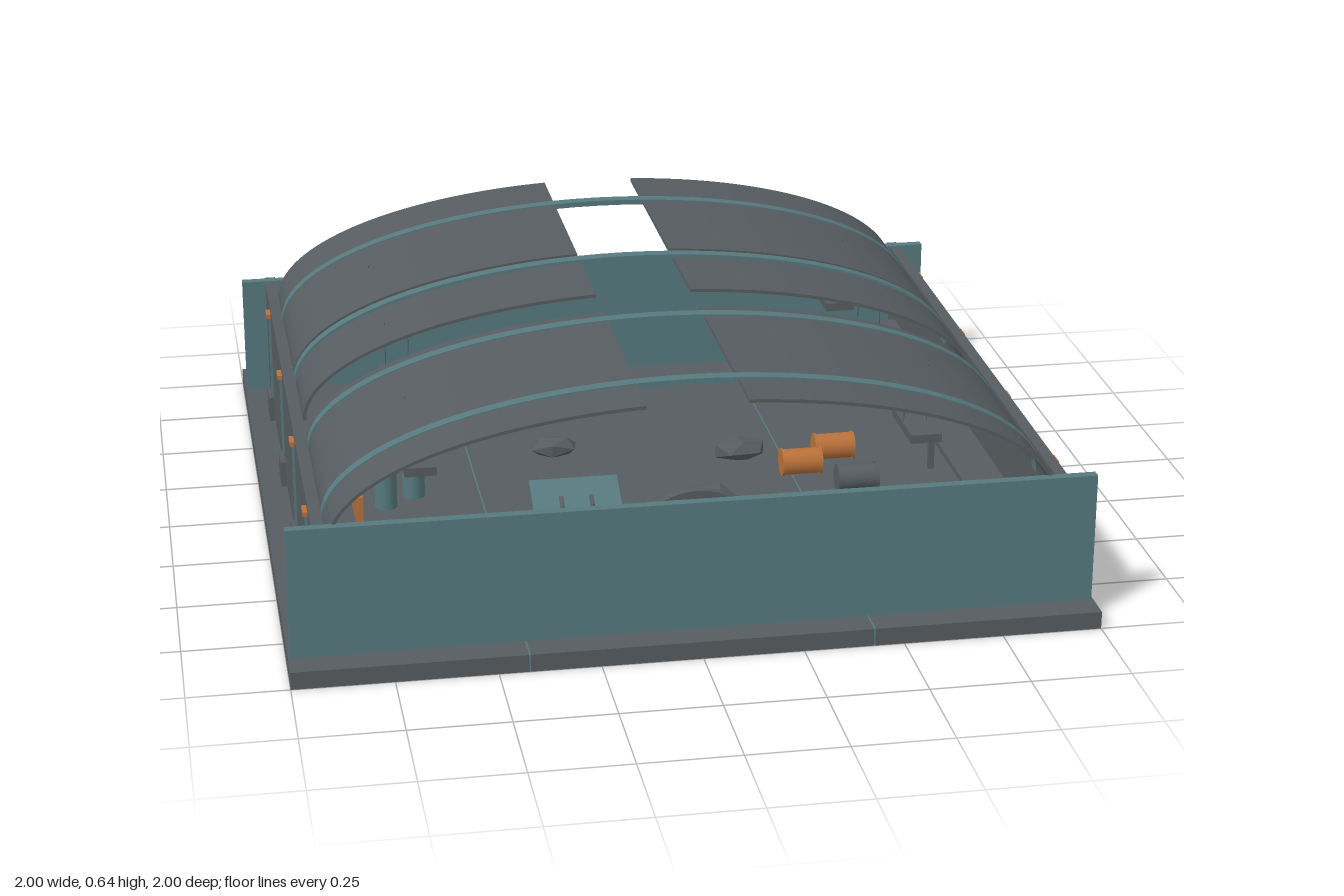
import * as THREE from 'three';

const mat = (name, color) => {
  const m = new THREE.MeshStandardMaterial({ color });
  m.name = name;
  return m;
};

export function createModel() {
  const model = new THREE.Group();
  const grey = mat('slate grey', 0x565c60);
  const teal = mat('muted teal', 0x56797e);
  const orange = mat('rust orange', 0xb8703a);

  const add = (name, geo, material, x = 0, y = 0, z = 0, parent = model) => {
    const m = new THREE.Mesh(geo, material);
    m.name = name;
    m.position.set(x, y, z);
    parent.add(m);
    return m;
  };
  // Box given by its min and max on each axis
  const box = (name, material, x0, x1, y0, y1, z0, z1) =>
    add(name, new THREE.BoxGeometry(x1 - x0, y1 - y0, z1 - z0), material,
      (x0 + x1) / 2, (y0 + y1) / 2, (z0 + z1) / 2);

  // Curved strip of the elliptical vault between two x positions
  const A = 0.895, B = 0.305, SPRING = 0.33;
  const arch = (name, material, x0, x1, z0, z1, lift, thick) => {
    const a0 = Math.acos(x1 / A), a1 = Math.acos(x0 / A), n = 40;
    const outer = [], inner = [];
    for (let i = 0; i <= n; i++) {
      const a = a0 + (a1 - a0) * i / n, c = Math.cos(a), s = Math.sin(a);
      outer.push(new THREE.Vector2((A + lift) * c, SPRING + (B + lift) * s));
      inner.push(new THREE.Vector2((A + lift - thick) * c, SPRING + (B + lift - thick) * s));
    }
    const shape = new THREE.Shape([...outer, ...inner.reverse()]);
    const geo = new THREE.ExtrudeGeometry(shape, { depth: z1 - z0, bevelEnabled: false });
    return add(name, geo, material, 0, 0, z0);
  };

  // Base slab with inlaid seams
  box('baseSlab', grey, -1, 1, 0, 0.045, -1, 1);
  for (const x of [-0.425, 0.425]) box('floorSeam', teal, x - 0.002, x + 0.002, 0.001, 0.046, -1.001, 1.001);

  // End walls and side walls
  box('frontWall', teal, -0.995, 0.995, 0.045, 0.38, 0.9, 0.925);
  box('backWall', teal, -0.995, 0.995, 0.045, 0.375, -0.855, -0.83);
  box('backSkirting', grey, -0.9, 0.9, 0.06, 0.075, -0.865, -0.855);
  for (const s of [-1, 1]) {
    const side = (name, m, a, b, ...rest) => box(name, m, Math.min(s * a, s * b), Math.max(s * a, s * b), ...rest);
    side('sideWall', grey, 0.9, 0.93, 0.045, 0.37, -0.875, 0.88);
    side('cornerBracket', grey, 0.88, 0.98, 0.08, 0.34, 0.885, 0.9);
    side('sideBench', grey, 0.79, 0.9, 0.16, 0.175, -0.75, 0.75);
    for (const z of [-0.7, -0.3, 0.05, 0.4, 0.7]) side('benchLeg', grey, 0.8, 0.815, 0.045, 0.16, z - 0.008, z + 0.008);
    // Outer buttresses under each rib
    for (const z of [-0.625, -0.155, 0.31, 0.75]) {
      side('buttressFoot', grey, 0.93, 0.945, 0.045, 0.115, z - 0.04, z + 0.04);
      side('buttressStrip', teal, 0.93, 0.936, 0.115, 0.345, z - 0.006, z + 0.006);
      side('buttressCap', orange, 0.93, 0.942, 0.345, 0.357, z - 0.022, z + 0.022);
    }
  }
  box('bunkRail', orange, -0.875, -0.865, 0.25, 0.27, 0.1, 0.7);
  for (const z of [0.3, 0.5, 0.7]) box('bunkPost', orange, -0.79, -0.775, 0.045, 0.27, z - 0.008, z + 0.008);

  // Vault panels, open along the crown
  for (const [z0, z1] of [[-0.815, -0.195], [-0.125, 0.125], [0.26, 0.905]]) {
    arch('leftRoofPanel', grey, 0.125, A, z0, z1, 0, 0.009);
    arch('rightRoofPanel', grey, -A, -0.125, z0, z1, 0, 0.009);
  }
  // Vault ribs with a cable beside them at the crown
  for (const z of [-0.625, -0.155, 0.31, 0.75]) {
    arch('roofRib', teal, -A, A, z - 0.016, z + 0.016, 0.003, 0.014);
    if (z > 0) arch('ribCable', orange, -0.3, 0.3, z - 0.022, z - 0.016, -0.009, 0.006);
  }

  // Hanging lamps
  for (const s of [-1, 1]) for (const z of [-0.45, 0, 0.52]) {
    box('lamp', grey, s * 0.64 - 0.04, s * 0.64 + 0.04, 0.365, 0.388, z - 0.1, z + 0.1);
    for (const dx of [-0.03, 0.03])
      add('lampRod', new THREE.CylinderGeometry(0.0015, 0.0015, 0.16, 6), grey, s * 0.635 + dx, 0.46, z);
  }

  // Round door inside the front wall
  const disc = (name, r, d, m, z) => {
    const geo = new THREE.CylinderGeometry(r, r, d, 32).rotateX(Math.PI / 2);
    add(name, geo, m, 0, 0.23, z);
  };
  disc('roundDoor', 0.17, 0.02, grey, 0.888);
  add('doorRing', new THREE.TorusGeometry(0.15, 0.01, 8, 32), orange, 0, 0.23, 0.872);
  disc('doorHub', 0.035, 0.04, grey, 0.862);

  // Lockers by the front wall
  for (let i = 0; i < 5; i++) {
    const x = 0.3 + i * 0.09;
    box('locker', teal, x, x + 0.08, 0.045, 0.31, 0.81, 0.88);
    box('lockerHandle', grey, x + 0.055, x + 0.063, 0.16, 0.2, 0.803, 0.81);
  }

  // Tilted fallen panel with two slots
  const plate = new THREE.Group();
  plate.name = 'fallenPanel';
  plate.position.set(-0.19, 0.09, 0.185);
  plate.rotation.x = 0.5;
  model.add(plate);
  add('panelPlate', new THREE.BoxGeometry(0.235, 0.012, 0.12), teal, 0, 0, 0, plate);
  for (const x of [-0.04, 0.04]) add('panelSlot', new THREE.BoxGeometry(0.012, 0.006, 0.035), grey, x, 0.006, 0.02, plate);
  box('panelStand', grey, -0.28, -0.1, 0.045, 0.085, 0.15, 0.19);

  // Rubble
  const rubble = [[0.155, 0.19, 0.09], [0.31, -0.12, 0.08], [-0.19, -0.22, 0.07], [0.6, 0.55, 0.09], [-0.4, 0.27, 0.05]];
  rubble.forEach(([x, z, r], i) => {
    const geo = new THREE.IcosahedronGeometry(r, 0);
    geo.rotateY(i * 1.3 + 0.4).scale(1, 0.45, 0.62);
    add('rubble', geo, grey, x, 0.065, z);
  });

  // Drums lying down and upright canisters
  for (const [x, z, m] of [[0.575, 0.16, grey], [0.56, -0.06, orange], [0.45, 0.03, orange]]) {
    add('drum', new THREE.CylinderGeometry(0.035, 0.035, 0.1, 20).rotateZ(Math.PI / 2), m, x, 0.082, z);
    for (const d of [-0.052, 0.052])
      add('drumRim', new THREE.CylinderGeometry(0.038, 0.038, 0.006, 20).rotateZ(Math.PI / 2), m, x + d, 0.082, z);
  }
  for (const [x, z] of [[-0.68, 0.06], [-0.6, 0]])
    add('canister', new THREE.CylinderGeometry(0.03, 0.03, 0.12, 20), teal, x, 0.105, z);

  return model;
}
